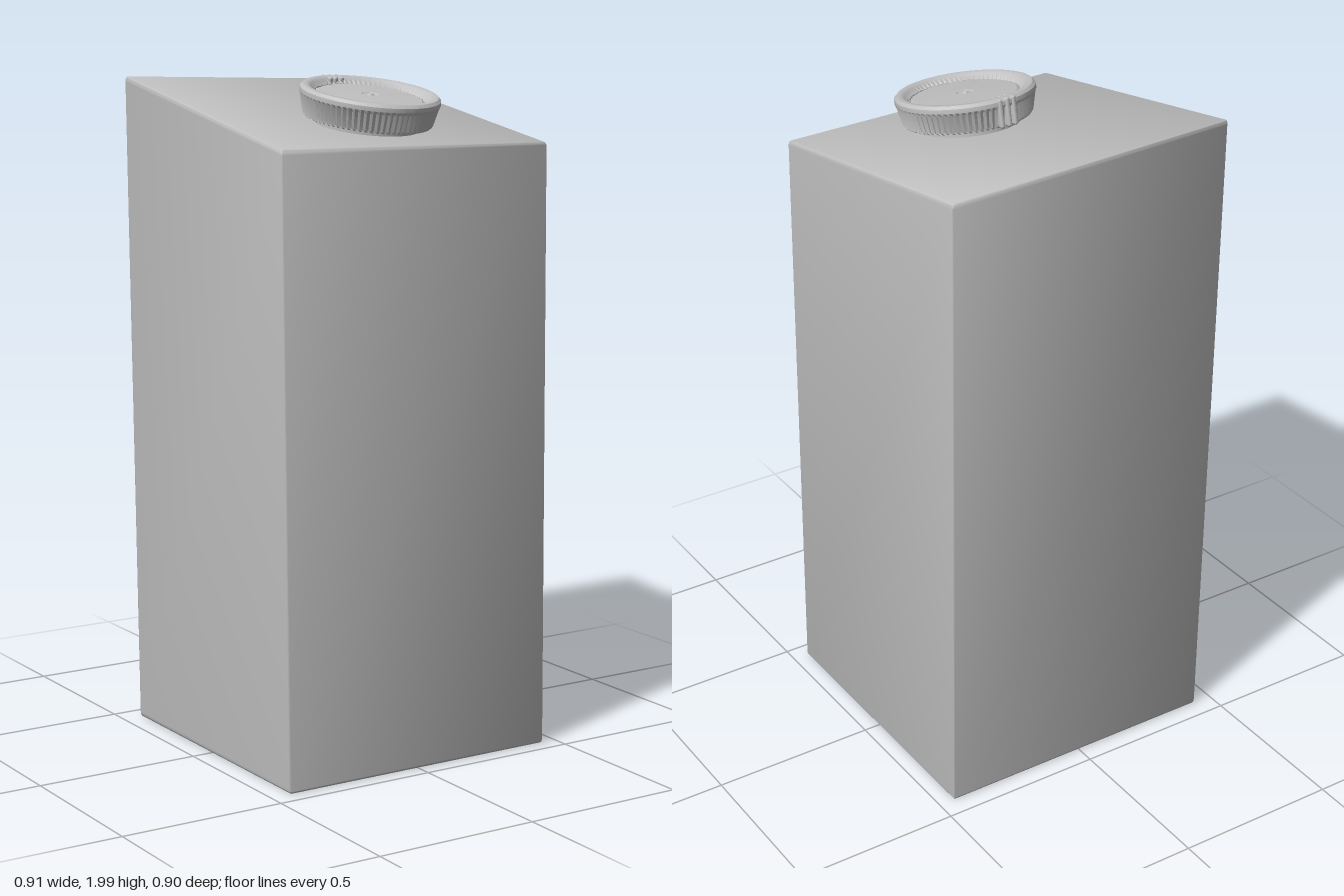
import * as THREE from 'three';
import { toCreasedNormals } from 'three/addons/utils/BufferGeometryUtils.js';
import { RoundedBoxGeometry } from 'three/addons/geometries/RoundedBoxGeometry.js';

const lerp = THREE.MathUtils.lerp;

// Slightly skewed carton: square base, roof sloping down towards the front
function cartonGeometry() {
  const geo = new RoundedBoxGeometry(1, 1, 1, 2, 0.008);
  const p = geo.attributes.position;
  for (let i = 0; i < p.count; i++) {
    const u = p.getX(i) + 0.5, v = p.getY(i) + 0.5, w = p.getZ(i) + 0.5;
    const x = lerp(lerp(-0.44, -0.458, v), lerp(0.453, 0.441, v), u);
    const roof = lerp(lerp(1.985, 1.955, u), lerp(1.82, 1.807, u), w);
    const z = lerp(lerp(-0.443, -0.45, v), lerp(0.453, 0.447, v), w);
    p.setXYZ(i, x, v * roof + 0.004 * (1 - v), z);
  }
  geo.deleteAttribute('uv');
  return toCreasedNormals(geo, 0.7);
}

// Lathe from [radius, height] points; ribs push alternate columns of chosen rows in
function ribbedLathe(points, segments, ribRows, depth) {
  const geo = new THREE.LatheGeometry(points.map(([r, y]) => new THREE.Vector2(r, y)), segments);
  const p = geo.attributes.position, n = points.length;
  for (let i = 0; i < p.count; i++) {
    const row = i % n, column = Math.floor(i / n);
    if (!ribRows.includes(row) || column % 2 === 0) continue;
    const r = points[row][0], k = (r - depth) / r;
    p.setX(i, p.getX(i) * k);
    p.setZ(i, p.getZ(i) * k);
  }
  return toCreasedNormals(geo.toNonIndexed(), 0.6);
}

export function createModel() {
  const model = new THREE.Group();
  const grey = new THREE.MeshStandardMaterial({ color: 0xbfbfbf });
  grey.name = 'plain grey';

  const add = (name, geo, parent) => {
    const mesh = new THREE.Mesh(geo, grey);
    mesh.name = name;
    parent.add(mesh);
    return mesh;
  };

  add('carton', cartonGeometry(), model);

  // Cap sits square to the sloping roof
  const cap = new THREE.Group();
  cap.name = 'cap';
  cap.position.set(-0.005, 1.858, 0.175);
  cap.rotation.set(0.182, 0, -0.02);
  model.add(cap);

  add('neck', new THREE.CylinderGeometry(0.155, 0.155, 0.05, 48), cap).position.y = 0.01;

  // Knurled skirt, rounded rim and toothed inner wall
  add('capRim', ribbedLathe([
    [0.15, 0.016], [0.185, 0.016], [0.19, 0.022], [0.201, 0.072], [0.205, 0.082],
    [0.204, 0.094], [0.196, 0.102], [0.184, 0.103], [0.175, 0.098], [0.164, 0.084], [0.16, 0.08],
  ], 144, [2, 3, 9], 0.006), cap);

  // Recessed top with a small central boss and dimple
  add('capTop', ribbedLathe([
    [0.168, 0.08], [0.155, 0.082], [0.15, 0.086], [0.026, 0.09], [0.022, 0.087],
    [0.01, 0.088], [0.008, 0.092], [0.005, 0.091], [0, 0.088],
  ], 48, [], 0), cap);

  // Raised seam ribs at the back of the rim
  for (const angle of [-0.18, -0.07, 0.05]) {
    const rib = add('seamRib', new RoundedBoxGeometry(0.014, 0.085, 0.045, 2, 0.006), cap);
    rib.position.set(Math.sin(angle) * 0.187, 0.06, -Math.cos(angle) * 0.187);
    rib.rotation.y = -angle;
  }

  return model;
}
